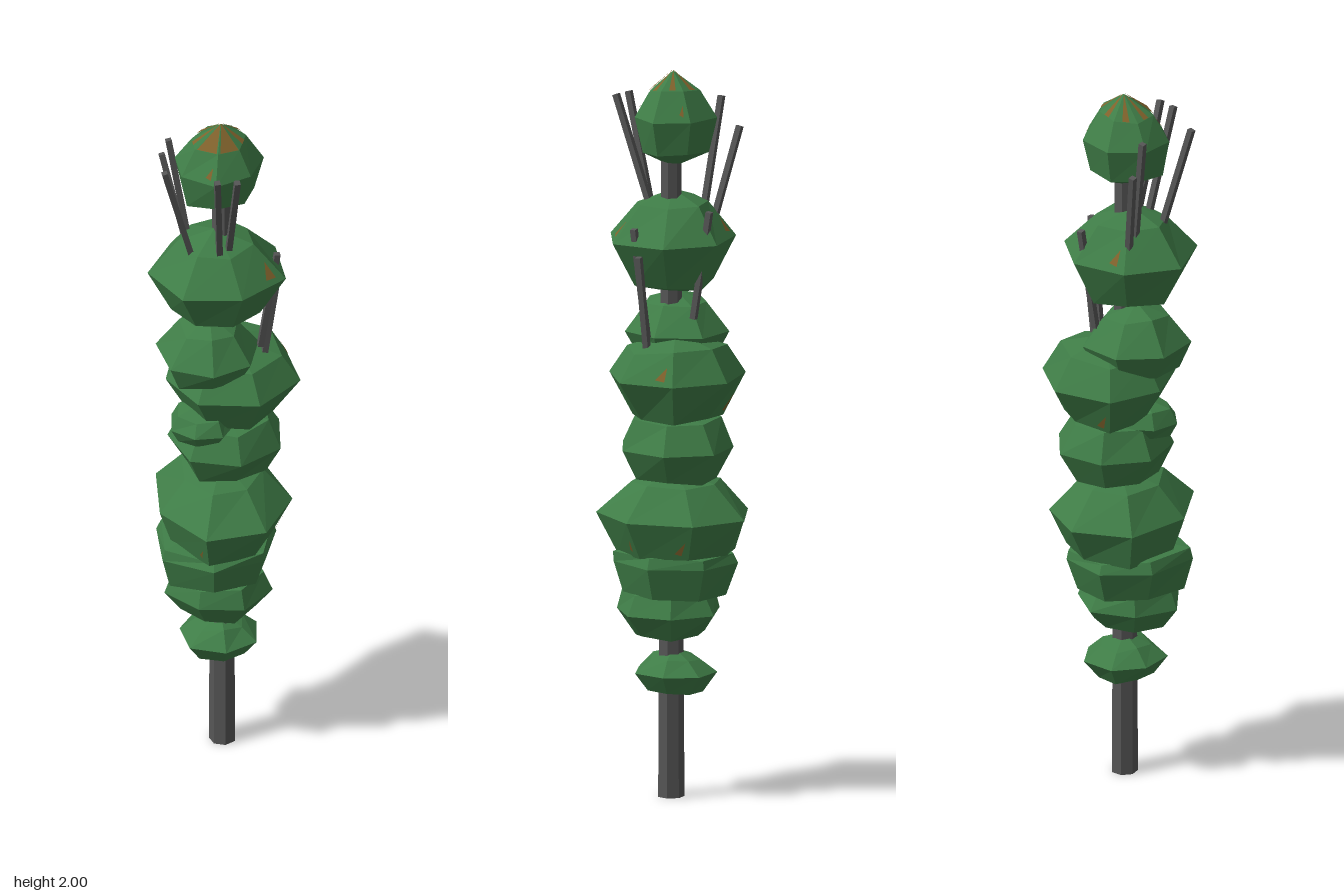
import * as THREE from 'three';

const SIDES = 7;
const material = (name, color, flat = true) => {
  const m = new THREE.MeshStandardMaterial({ color });
  m.name = name;
  m.flatShading = flat;
  return m;
};

// Small seeded generator for the uneven foliage
let seed = 11;
const rand = () => {
  seed = (seed * 16807) % 2147483647;
  return seed / 2147483647;
};

// Rings of one faceted clump: lower tip, underside, widest ring, shoulder, crown tip
function clumpRings({ y, low, top, x, z, phase }) {
  const unit = [];
  for (let i = 0; i < SIDES; i++) {
    const a = THREE.MathUtils.degToRad(phase + (i * 360) / SIDES);
    const r = 0.94 + rand() * 0.12;
    unit.push(new THREE.Vector2(Math.cos(a) * r, -Math.sin(a) * r));
  }
  // Fit the widest ring to the clump's extents
  const box = new THREE.Box2().setFromPoints(unit);
  const fit = (v, min, max, to) => to[0] + ((v - min) / (max - min)) * (to[1] - to[0]);
  const cx = (x[0] + x[1]) / 2, cz = (z[0] + z[1]) / 2;
  return [0, low, 1, top, 0].map((s, k) => unit.map((p) => {
    const wobble = k === 1 || k === 3 ? s * (0.93 + rand() * 0.14) : s;
    const lift = k === 1 || k === 3 ? (rand() - 0.5) * 0.015 : 0;
    return new THREE.Vector3(
      cx + (fit(p.x, box.min.x, box.max.x, x) - cx) * wobble,
      y[k] + lift,
      cz + (fit(p.y, box.min.y, box.max.y, z) - cz) * wobble);
  }));
}

function trianglesMesh(name, points, mat) {
  const geometry = new THREE.BufferGeometry().setFromPoints(points);
  geometry.computeVertexNormals();
  const mesh = new THREE.Mesh(geometry, mat);
  mesh.name = name;
  return mesh;
}

function clumpMesh(name, rings, mat) {
  const points = [];
  for (let k = 0; k < 4; k++) {
    for (let i = 0; i < SIDES; i++) {
      const j = (i + 1) % SIDES;
      const a = rings[k], b = rings[k + 1];
      if (k > 0) points.push(a[i], a[j], b[j]);
      else points.push(a[i], b[j], b[i]);
      if (k > 0 && k < 3) points.push(a[i], b[j], b[i]);
    }
  }
  return trianglesMesh(name, points, mat);
}

// Triangle laid just above a face, its corners given as weights of the face corners
function patchPoints(face, weights) {
  const n = new THREE.Triangle(...face).getNormal(new THREE.Vector3());
  return weights.map((w) => new THREE.Vector3()
    .addScaledVector(face[0], w[0])
    .addScaledVector(face[1], w[1])
    .addScaledVector(face[2], w[2])
    .addScaledVector(n, 0.003));
}

export function createModel() {
  const group = new THREE.Group();
  const green = material('leaf green', 0x3f7d47);
  const brown = material('dry brown', 0x80622c);
  const grey = material('bark grey', 0x565656);

  // Trunk
  const trunk = new THREE.Mesh(new THREE.CylinderGeometry(0.028, 0.037, 1.85, 7), grey);
  trunk.name = 'trunk';
  trunk.position.set(0, 0.925, 0.016);
  group.add(trunk);

  // Foliage clumps from the ground up
  const clumps = [
    { y: [0.28, 0.295, 0.345, 0.385, 0.41], low: 0.65, top: 0.6, x: [-0.11, 0.1], z: [-0.1, 0.12], phase: 10 },
    { y: [0.425, 0.445, 0.51, 0.56, 0.59], low: 0.65, top: 0.85, x: [-0.165, 0.125], z: [-0.12, 0.165], phase: 30 },
    { y: [0.55, 0.565, 0.65, 0.675, 0.7], low: 0.82, top: 0.95, x: [-0.18, 0.15], z: [-0.16, 0.175], phase: 0 },
    { y: [0.66, 0.675, 0.78, 0.87, 0.9], low: 0.78, top: 0.58, x: [-0.18, 0.185], z: [-0.21, 0.21], phase: 90 },
    { y: [0.87, 0.885, 0.97, 1.05, 1.07], low: 0.7, top: 0.75, x: [-0.14, 0.17], z: [-0.16, 0.15], phase: 15 },
    { y: [0.99, 1.01, 1.05, 1.09, 1.11], low: 0.75, top: 0.75, x: [-0.15, 0.03], z: [-0.06, 0.12], phase: 40 },
    { y: [1.04, 1.06, 1.17, 1.25, 1.29], low: 0.65, top: 0.7, x: [-0.15, 0.205], z: [-0.195, 0.165], phase: 26 },
    { y: [1.19, 1.21, 1.28, 1.36, 1.39], low: 0.75, top: 0.58, x: [-0.175, 0.1], z: [-0.12, 0.165], phase: 5 },
    { y: [1.385, 1.415, 1.54, 1.635, 1.67], low: 0.62, top: 0.55, x: [-0.205, 0.158], z: [-0.148, 0.19], phase: 22 },
    { y: [1.735, 1.78, 1.875, 1.95, 2], low: 0.82, top: 0.62, x: [-0.122, 0.115], z: [-0.105, 0.125], phase: 0 },
  ];
  const allRings = clumps.map(clumpRings);
  allRings.forEach((rings, i) => group.add(clumpMesh(`foliageClump${i + 1}`, rings, green)));

  // Dry streaks radiating from the crown tip
  const crown = allRings[9];
  const streaks = [];
  for (let i = 0; i < SIDES; i++) {
    const j = (i + 1) % SIDES;
    const face = [crown[3][i], crown[3][j], crown[4][i]];
    const frontSide = crown[3][i].z + crown[3][j].z > 0.08;
    const edges = frontSide ? [0.1, 0.95] : [0.35, 0.65];
    streaks.push(...patchPoints(face, [[1 - edges[0], edges[0], 0], [1 - edges[1], edges[1], 0], [0, 0, 1]]));
  }
  group.add(trianglesMesh('crownStreaks', streaks, brown));

  // Dry patches: clump, band, compass angle seen from above, narrowness
  const patches = [
    [9, 2, 290, 0.8], [9, 2, 340, 0.8], [9, 2, 30, 0.5], [9, 2, 235, 0.4],
    [3, 1, 310, 0.5], [3, 1, 205, 0.6], [3, 1, 0, 0.4],
    [6, 2, 335, 0.35], [8, 2, 120, 0.4], [8, 2, 300, 0.3], [6, 1, 100, 0.3],
  ];
  const dry = [];
  for (const [c, band, angle, size] of patches) {
    const turn = (((angle - clumps[c].phase) % 360) + 360) % 360;
    const i = Math.floor((turn * SIDES) / 360) % SIDES;
    const j = (i + 1) % SIDES;
    const face = [allRings[c][band][i], allRings[c][band][j], allRings[c][band + 1][j]];
    const e = size / 2;
    dry.push(...patchPoints(face, [[0.5 - e, 0.5, e], [0.15, 0.8 - e / 2, 0.05 + e / 2], [0.1, 0.35, 0.55]]));
  }
  group.add(trianglesMesh('dryPatches', dry, brown));

  // Bare twigs: base and tip
  const twigs = [
    [[-0.09, 1.6, 0.06], [-0.175, 1.915, 0.088]],
    [[-0.022, 1.6, 0.085], [-0.046, 1.92, 0.17]],
    [[0.003, 1.6, 0.07], [0.007, 1.92, 0.18]],
    [[-0.085, 1.58, -0.07], [-0.14, 1.835, -0.12]],
    [[-0.082, 1.6, -0.04], [-0.132, 1.915, -0.068]],
    [[0.03, 1.33, -0.07], [0.038, 1.63, -0.123]],
    [[0.1, 1.28, 0.035], [0.143, 1.585, 0.052]],
    [[0.11, 1.23, 0.028], [0.149, 1.51, 0.034]],
  ];
  const up = new THREE.Vector3(0, 1, 0);
  twigs.forEach(([from, to], i) => {
    const a = new THREE.Vector3(...from), b = new THREE.Vector3(...to);
    const dir = b.clone().sub(a);
    const twig = new THREE.Mesh(new THREE.BoxGeometry(0.016, dir.length(), 0.016), grey);
    twig.name = `twig${i + 1}`;
    twig.position.copy(a).add(b).multiplyScalar(0.5);
    twig.quaternion.setFromUnitVectors(up, dir.normalize());
    group.add(twig);
  });

  return group;
}
